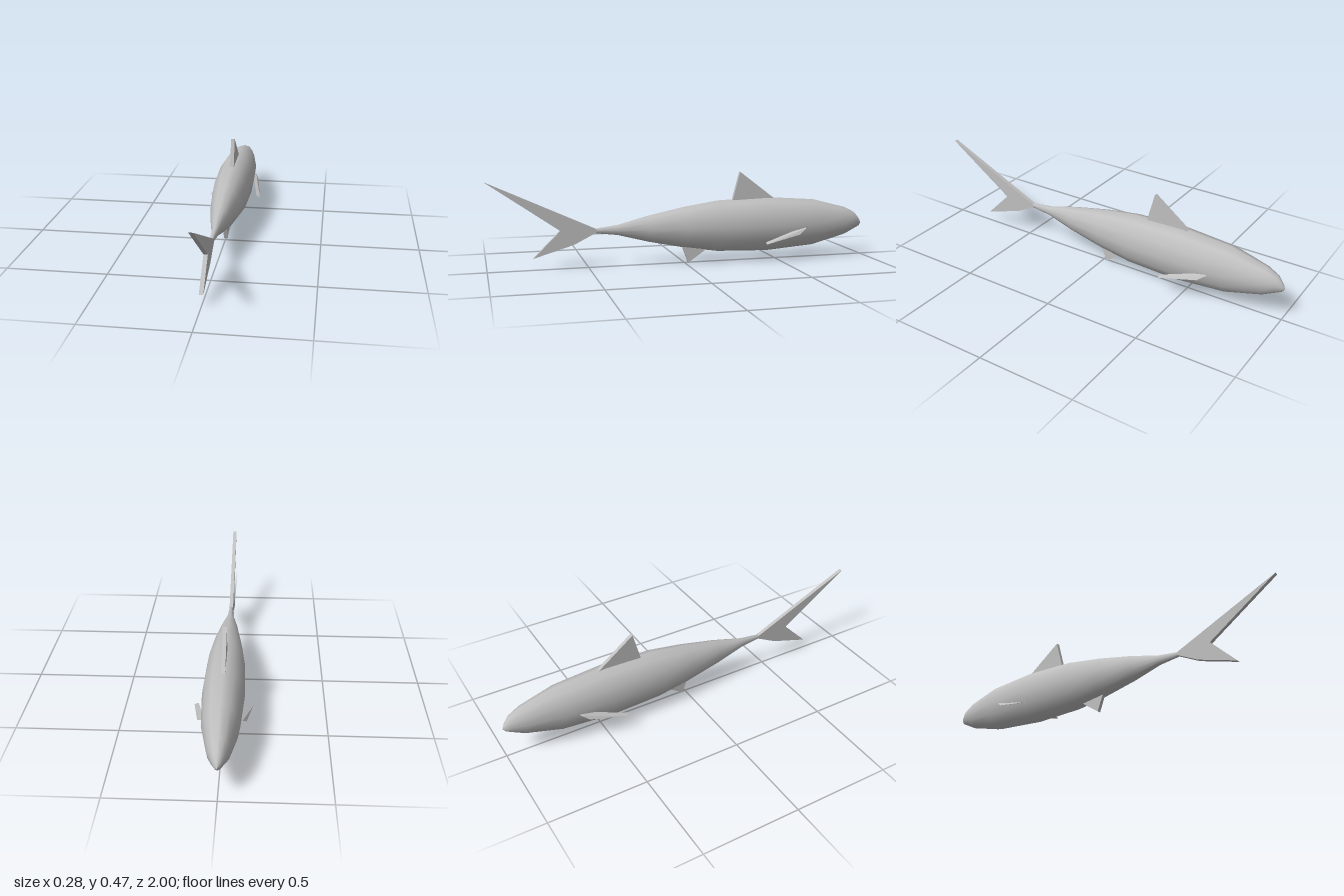
import * as THREE from 'three';
import { ConvexGeometry } from 'three/addons/geometries/ConvexGeometry.js';

const grey = new THREE.MeshStandardMaterial({ color: 0xbfbfbf });
grey.name = 'grey';
const THICK = 0.02;

function mesh(name, geometry) {
  const m = new THREE.Mesh(geometry, grey);
  m.name = name;
  return m;
}

// upright fin plate on the centre plane, outlined by [z, y] points
function fin(name, points) {
  const shape = new THREE.Shape(points.map(([z, y]) => new THREE.Vector2(-z, y)));
  const g = new THREE.ExtrudeGeometry(shape, { depth: THICK, bevelEnabled: false });
  g.translate(0, 0, -THICK / 2);
  g.rotateY(Math.PI / 2);
  return mesh(name, g);
}

// twelve-sided tapering body, taller than wide, [half height, z] from nose to tail
function body() {
  const profile = [
    [0, -1], [0.022, -0.987], [0.045, -0.96], [0.075, -0.9], [0.123, -0.716], [0.143, -0.45],
    [0.134, -0.18], [0.107, 0], [0.068, 0.19], [0.026, 0.35], [0.011, 0.475], [0, 0.475],
  ].map(([r, z]) => new THREE.Vector2(r, z));
  const g = new THREE.LatheGeometry(profile, 12);
  g.rotateX(Math.PI / 2);
  g.scale(0.714, 1, 1);
  g.translate(0, 0.186, 0);
  // the nose tip droops slightly
  const p = g.attributes.position;
  for (let i = 0; i < p.count; i++) {
    const t = Math.max(0, (-0.96 - p.getZ(i)) / 0.04);
    p.setY(i, p.getY(i) - 0.015 * t);
  }
  return mesh('body', g);
}

// slanted side fin: a thin triangle swept back, out and down
function sideFin(name, side) {
  const outer = [[0.096, 0.168, -0.64], [0.114, 0.14, -0.6], [0.142, 0.1, -0.405]];
  const points = [];
  for (const [x, y, z] of outer) {
    points.push(new THREE.Vector3(side * x, y, z));
    points.push(new THREE.Vector3(side * (x - 0.02), y + 0.008, z));
  }
  return mesh(name, new ConvexGeometry(points));
}

export function createModel() {
  const model = new THREE.Group();
  model.name = 'fish';
  model.add(
    body(),
    fin('tailFin', [[0.46, 0.196], [1, 0.445], [0.64, 0.194], [0.775, 0.06], [0.57, 0.122], [0.46, 0.178]]),
    fin('backFin', [[-0.5, 0.315], [-0.3, 0.467], [-0.255, 0.3]]),
    fin('bellyFin', [[-0.13, 0.075], [-0.02, 0], [0.02, 0.11]]),
    sideFin('leftSideFin', 1),
    sideFin('rightSideFin', -1),
  );
  return model;
}
